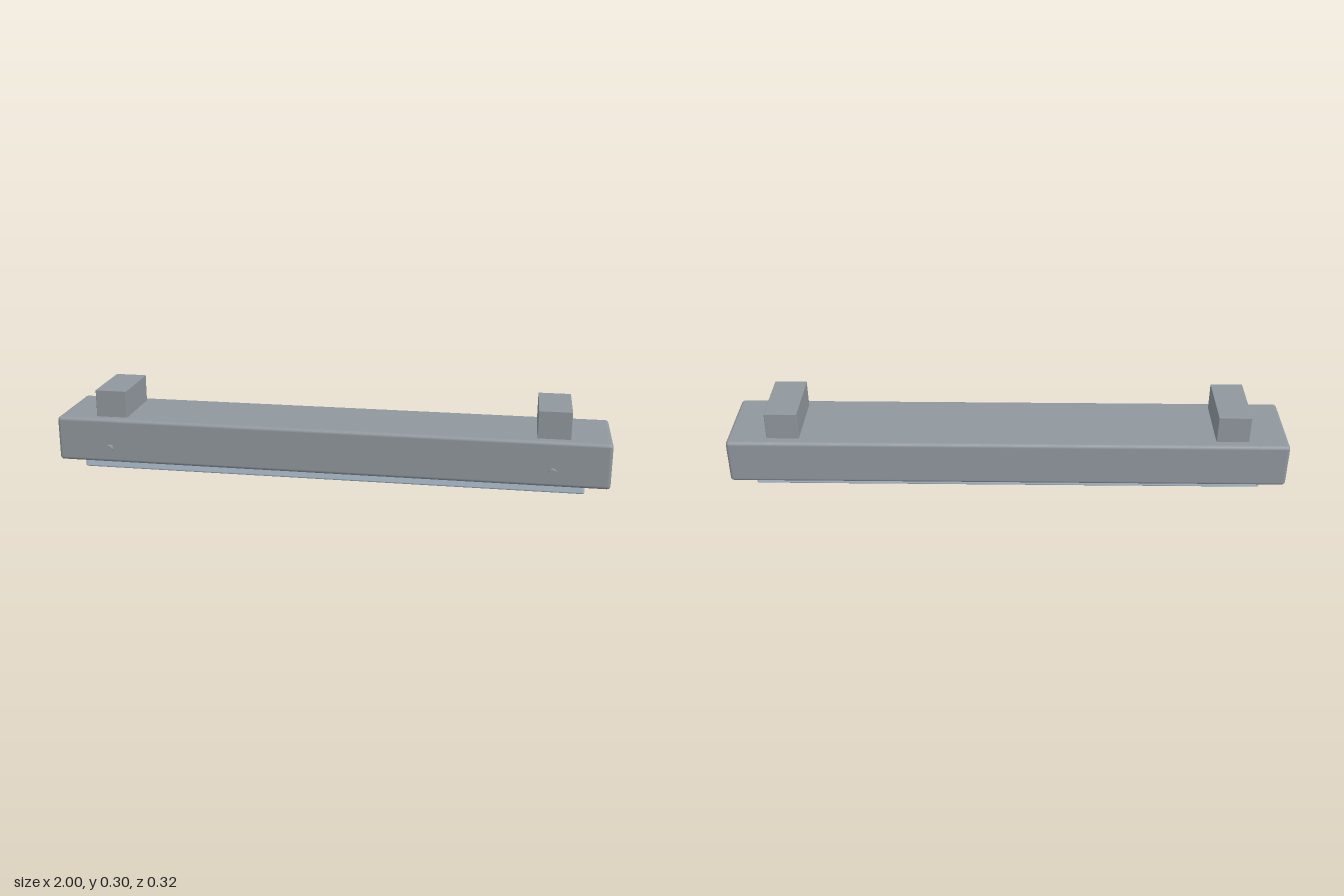
import * as THREE from 'three';
import { RoundedBoxGeometry } from 'three/addons/geometries/RoundedBoxGeometry.js';

export function createModel() {
  const model = new THREE.Group();
  model.name = 'lightFixture';

  const housingGrey = new THREE.MeshStandardMaterial({ color: 0x90979d });
  housingGrey.name = 'housingGrey';
  const paleBlue = new THREE.MeshStandardMaterial({ color: 0xb0c3d2 });
  paleBlue.name = 'paleBlue';

  // Rounded box given by its limits on each axis
  function block(name, [x0, x1], [y0, y1], [z0, z1], radius, material) {
    const geometry = new RoundedBoxGeometry(x1 - x0, y1 - y0, z1 - z0, 4, radius);
    const mesh = new THREE.Mesh(geometry, material);
    mesh.position.set((x0 + x1) / 2, (y0 + y1) / 2, (z0 + z1) / 2);
    mesh.name = name;
    model.add(mesh);
  }

  // Long housing and the diffuser below it
  block('housing', [-1, 1], [0.035, 0.2], [-0.161, 0.139], 0.013, housingGrey);
  block('diffuser', [-0.915, 0.915], [0, 0.05], [-0.123, 0.102], 0.007, paleBlue);

  for (const side of [-1, 1]) {
    const label = side > 0 ? 'left' : 'right';

    // Mounting block on top
    const x = side * 0.8;
    block(label + 'MountingBlock', [x - 0.058, x + 0.058], [0.18, 0.3], [-0.127, 0.105], 0.002, housingGrey);

    // Small round screw just ahead of the front face
    const screw = new THREE.Mesh(new THREE.CylinderGeometry(0.014, 0.014, 0.014, 24), housingGrey);
    screw.rotation.x = Math.PI / 2;
    screw.position.set(x, 0.093, 0.155);
    screw.name = label + 'Screw';
    model.add(screw);
  }

  return model;
}
